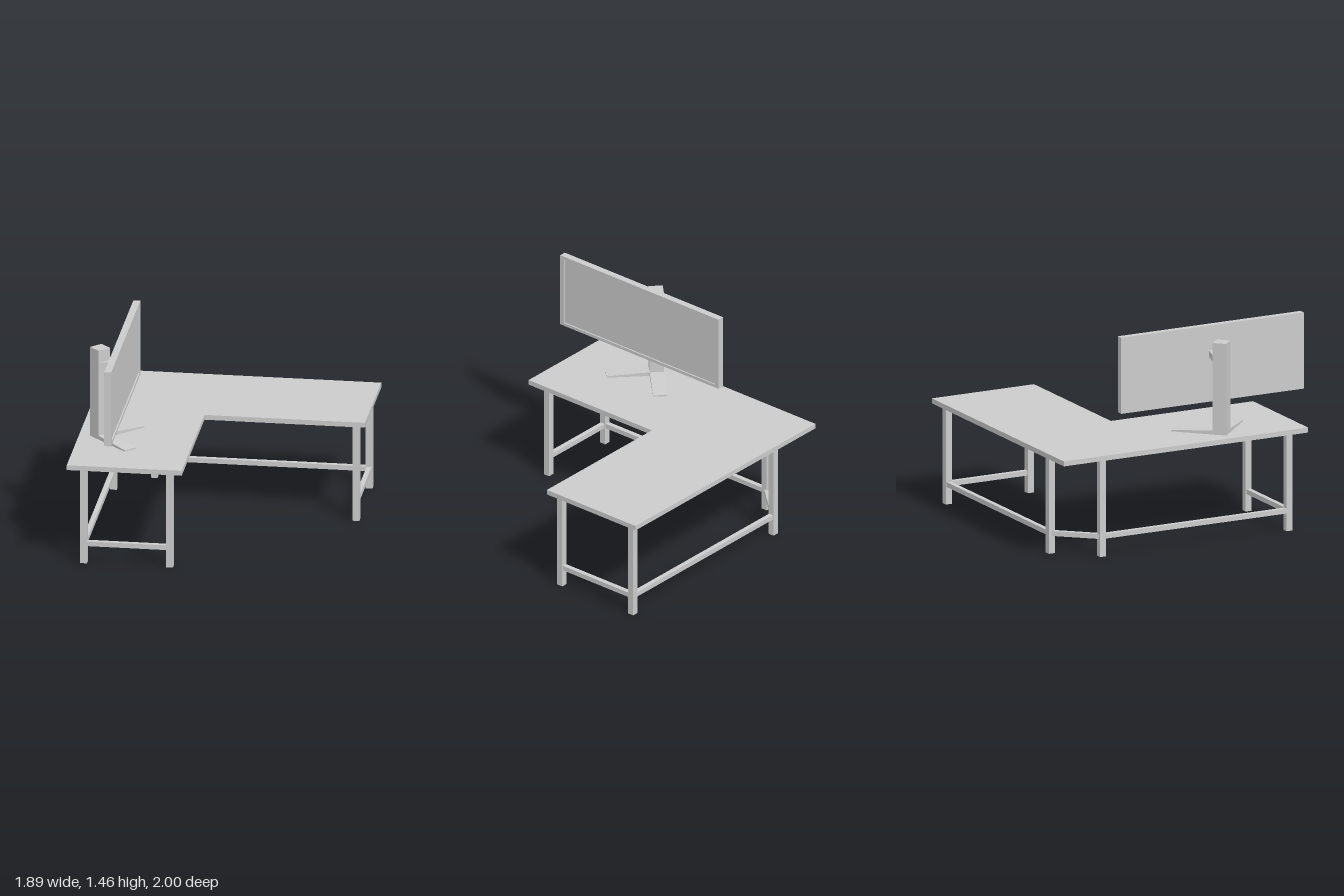
import * as THREE from 'three';

const material = new THREE.MeshStandardMaterial({ color: 0xcccccc, flatShading: true });

const DESK_BOTTOM = 0.698, DESK_TOP = 0.733;
const LEG = 0.046, BAR = 0.034, BAR_Y = 0.14;

function add(parent, name, geometry, x = 0, y = 0, z = 0) {
  const mesh = new THREE.Mesh(geometry, material);
  mesh.name = name;
  mesh.position.set(x, y, z);
  parent.add(mesh);
  return mesh;
}

function extrude(points, depth, hole) {
  const shape = new THREE.Shape(points.map(([x, y]) => new THREE.Vector2(x, y)));
  if (hole) shape.holes.push(new THREE.Path(hole.map(([x, y]) => new THREE.Vector2(x, y))));
  return new THREE.ExtrudeGeometry(shape, { depth, bevelEnabled: false });
}

// Corners of a centred rectangle
const rect = (w, h) => [[-w / 2, -h / 2], [w / 2, -h / 2], [w / 2, h / 2], [-w / 2, h / 2]];

// Flat plate lying level, outline given as [x, z]
const plate = (outline, height) =>
  extrude(outline.map(([x, z]) => [x, -z]), height).rotateX(-Math.PI / 2);

function createDesk() {
  const desk = new THREE.Group();
  desk.name = 'desk';

  // L-shaped worktop
  const outline = [[-0.945, -1], [0.945, -1], [0.945, -0.212], [-0.156, -0.212], [-0.156, 0.885], [-0.945, 0.885]];
  add(desk, 'worktop', plate(outline, DESK_TOP - DESK_BOTTOM), 0, DESK_BOTTOM, 0);

  // Legs in order around the outer edge, as [x, z]
  const legs = [[-0.25, 0.787], [-0.84, 0.787], [-0.84, -0.652], [-0.598, -0.918], [0.876, -0.918], [0.876, -0.286]];
  legs.forEach(([x, z]) =>
    add(desk, 'leg', new THREE.BoxGeometry(LEG, DESK_BOTTOM, LEG), x, DESK_BOTTOM / 2, z));

  // Stretchers join each leg to the next
  for (let i = 0; i < legs.length - 1; i++) {
    const [x1, z1] = legs[i], [x2, z2] = legs[i + 1];
    const length = Math.hypot(x2 - x1, z2 - z1);
    const bar = add(desk, 'stretcher', new THREE.BoxGeometry(length, BAR, BAR),
      (x1 + x2) / 2, BAR_Y, (z1 + z2) / 2);
    bar.rotation.y = -Math.atan2(z2 - z1, x2 - x1);
  }
  return desk;
}

function createMonitor() {
  const monitor = new THREE.Group();
  monitor.name = 'monitor';
  monitor.position.set(-0.8, DESK_TOP, 0.295);

  // Square post turned by 45 degrees
  const side = 0.097, postHeight = 0.644;
  const post = add(monitor, 'standPost', new THREE.BoxGeometry(side, postHeight, side), 0, postHeight / 2, 0);
  post.rotation.y = Math.PI / 4;

  // Two sloping feet, continuing the front faces of the post
  const profile = [[0, 0], [side / 2 + 0.294, 0], [side / 2 + 0.294, 0.01], [side / 2, 0.028], [0, 0.028]];
  for (const sign of [-1, 1]) {
    const foot = add(monitor, 'standFoot', extrude(profile, side).translate(0, 0, -side / 2));
    foot.rotation.y = sign * Math.PI / 4;
  }

  // Tapered arm from post to screen
  add(monitor, 'standArm', plate([[0, -0.068], [0.13, -0.028], [0.13, 0.028], [0, 0.068]], 0.044), 0, 0.512, 0);

  // Screen: raised bezel around a recessed panel, facing +x
  const width = 1.41, height = 0.535, depth = 0.048, recess = 0.01;
  const screen = new THREE.Group();
  screen.name = 'screen';
  screen.position.set(0.128, 0.463, 0);
  screen.rotation.y = Math.PI / 2;
  monitor.add(screen);
  add(screen, 'screenPanel', new THREE.BoxGeometry(width, height, depth - recess), 0, 0, (depth - recess) / 2);
  add(screen, 'screenBezel', extrude(rect(width, height), recess, rect(width - 0.066, height - 0.043)), 0, 0, depth - recess);
  return monitor;
}

export function createModel() {
  const model = new THREE.Group();
  model.name = 'cornerDeskWithMonitor';
  model.add(createDesk(), createMonitor());
  return model;
}
